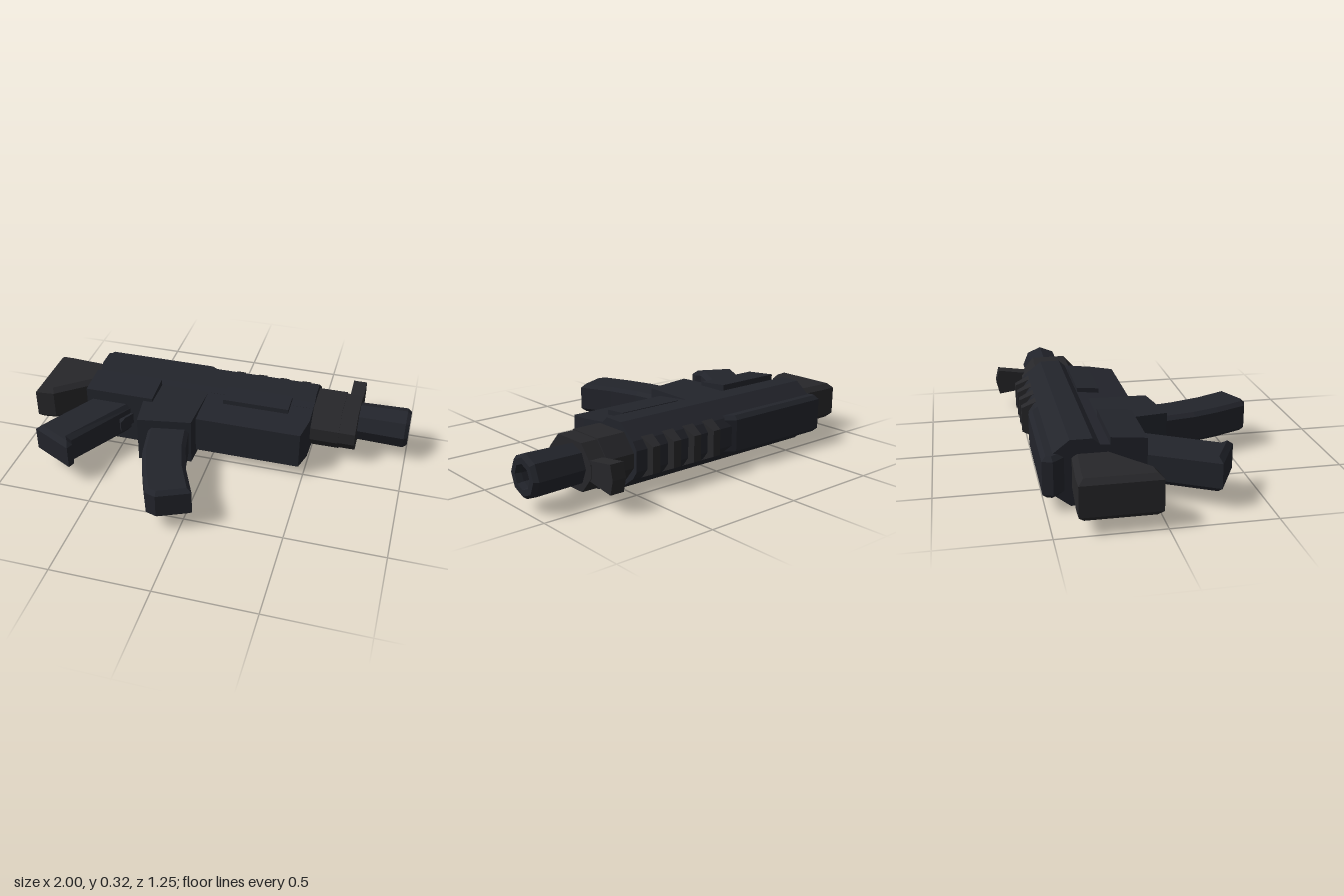
import * as THREE from 'three';

const material = (color) => new THREE.MeshStandardMaterial({ color, flatShading: true, side: THREE.DoubleSide });
const dark = material(0x22242b);
const charcoal = material(0x27272a);

const shapeOf = (pts) => new THREE.Shape(pts.map(([x, y]) => new THREE.Vector2(x, y)));

// Side outline (x, up) given a thickness, with chamfered rims
function slab(name, pts, half, bevel = 0, mat = dark) {
  const geo = new THREE.ExtrudeGeometry(shapeOf(pts), {
    depth: 2 * (half - bevel), bevelEnabled: bevel > 0, bevelThickness: bevel,
    bevelSize: bevel, bevelOffset: -bevel, bevelSegments: 1,
  });
  geo.translate(0, 0, bevel - half);
  const mesh = new THREE.Mesh(geo, mat);
  mesh.name = name;
  return mesh;
}

// Half cross-section (side, up), mirrored and swept along x
function sweep(name, halfPts, x0, x1, mat = dark) {
  const mirrored = halfPts.map(([s, u]) => [-s, u]).reverse();
  const geo = new THREE.ExtrudeGeometry(shapeOf([...halfPts, ...mirrored]), { depth: x1 - x0, bevelEnabled: false });
  geo.rotateY(Math.PI / 2).translate(x0, 0, 0);
  const mesh = new THREE.Mesh(geo, mat);
  mesh.name = name;
  return mesh;
}

// Scales thickness linearly between two heights
function taper(mesh, y0, s0, y1, s1) {
  const p = mesh.geometry.attributes.position;
  for (let i = 0; i < p.count; i++) {
    const t = THREE.MathUtils.clamp((p.getY(i) - y0) / (y1 - y0), 0, 1);
    p.setZ(i, p.getZ(i) * THREE.MathUtils.lerp(s0, s1, t));
  }
  mesh.geometry.computeVertexNormals();
  return mesh;
}

export function createModel() {
  const model = new THREE.Group();
  model.name = 'compactRifle';
  const body = new THREE.Group();
  body.name = 'body';
  // Drawn upright, then laid on its side
  body.rotation.x = -Math.PI / 2;
  body.position.y = 0.16;
  model.add(body);

  // Receiver
  body.add(sweep('upperReceiver',
    [[0.125, 0.2], [0.13, 0.247], [0.16, 0.28], [0.16, 0.383], [0.09, 0.473], [0.05, 0.5]], -0.7, 0.5));
  body.add(taper(slab('lowerReceiver',
    [[-0.7, 0.03], [-0.1, 0.03], [-0.08, -0.02], [0.475, -0.02], [0.5, 0.1], [0.5, 0.25], [-0.7, 0.25]], 0.13),
    -0.02, 0.76, 0.25, 1));
  body.add(slab('topCover',
    [[-0.7, 0.41], [-0.05, 0.41], [-0.05, 0.47], [-0.12, 0.513], [-0.73, 0.513], [-0.748, 0.465]], 0.1, 0.02));
  body.add(taper(slab('gripFrame',
    [[-0.7, 0.03], [-0.33, 0.03], [-0.33, 0.2], [-0.7, 0.2]], 0.16), 0.03, 0.9, 0.2, 1));
  body.add(slab('magazineWell',
    [[-0.355, -0.142], [-0.08, -0.095], [-0.07, 0.2], [-0.33, 0.2], [-0.38, 0.03]], 0.125));
  body.add(taper(slab('sidePanels',
    [[0.03, 0.13], [0.38, 0.13], [0.38, 0.245], [0.03, 0.245]], 0.15), 0.13, 0.94, 0.245, 1));

  // Magazine, curving forward
  body.add(slab('magazine',
    [[-0.31, -0.08], [-0.27, -0.31], [-0.225, -0.445], [-0.155, -0.605], [-0.1, -0.622],
      [0.06, -0.55], [-0.02, -0.38], [-0.07, -0.22], [-0.1, -0.06]], 0.08, 0.02));

  // Grip and trigger
  body.add(slab('grip',
    [[-0.68, 0.06], [-0.865, -0.275], [-0.645, -0.388], [-0.632, -0.35], [-0.65, -0.32], [-0.44, 0.06]], 0.085, 0.025));
  body.add(slab('trigger',
    [[-0.54, 0.05], [-0.5, -0.03], [-0.475, -0.07], [-0.468, -0.02], [-0.43, 0.05]], 0.03));

  // Stock
  body.add(slab('stock',
    [[-1, 0.02], [-0.9, 0.03], [-0.69, 0.2], [-0.69, 0.375], [-0.92, 0.39], [-1, 0.39]], 0.098, 0.025, charcoal));

  // Barrel shroud and front sight
  body.add(sweep('barrelShroud',
    [[0.035, 0.147], [0.12, 0.223], [0.12, 0.41], [0.035, 0.48]], 0.49, 0.65, charcoal));
  body.add(sweep('shroudCollar',
    [[0.033, 0.15], [0.115, 0.225], [0.115, 0.405], [0.033, 0.474]], 0.65, 0.735, charcoal));
  body.add(sweep('frontSight',
    [[0.045, 0.44], [0.07, 0.61], [0, 0.627]], 0.66, 0.732, charcoal));

  // Hollow barrel
  const profile = [[0.1, 0.72], [0.106, 0.98], [0.09, 1], [0.06, 1], [0.052, 0.97], [0.052, 0.85], [0, 0.85]];
  const barrelGeo = new THREE.LatheGeometry(profile.map(([r, h]) => new THREE.Vector2(r, h)), 8);
  barrelGeo.rotateZ(-Math.PI / 2).translate(0, 0.337, 0);
  const barrel = new THREE.Mesh(barrelGeo, dark);
  barrel.name = 'barrel';
  body.add(barrel);

  // Rail teeth along the top
  for (let i = 0; i < 4; i++) {
    const x = 0.035 + i * 0.125;
    body.add(taper(slab('railTooth' + (i + 1),
      [[x - 0.035, 0.46], [x + 0.035, 0.46], [x + 0.022, 0.535], [x - 0.022, 0.535]], 0.1, 0, charcoal),
      0.49, 1, 0.535, 0.65));
  }
  return model;
}
